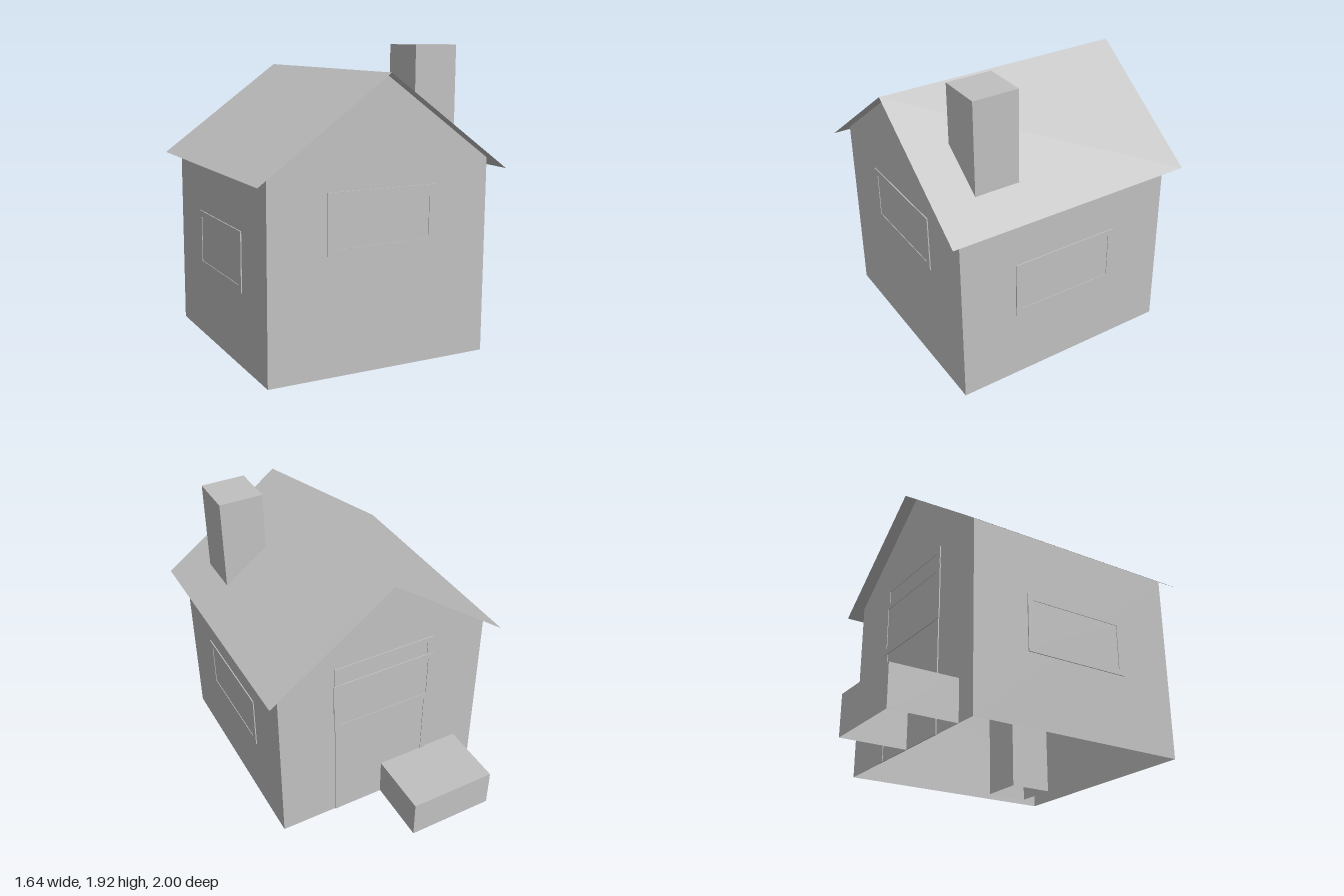
import * as THREE from 'three';

const plaster = new THREE.MeshStandardMaterial({ color: 0xc0c0c0, side: THREE.DoubleSide });
plaster.name = 'plain grey';

const HALF = 0.735, EAVE = 1.235, RIDGE = 1.767;
const BACK = -0.56, FRONT = 0.917;
const SLOPE = (RIDGE - EAVE) / HALF;

function add(parent, name, geometry) {
  const mesh = new THREE.Mesh(geometry, plaster);
  mesh.name = name;
  parent.add(mesh);
  return mesh;
}

// Box given by its limits, without the listed sides (0 +x, 1 -x, 2 +y, 3 -y, 4 +z, 5 -z)
function openBox(x0, x1, y0, y1, z0, z1, missing) {
  const g = new THREE.BoxGeometry(x1 - x0, y1 - y0, z1 - z0);
  g.setIndex([...g.index.array].filter((_, i) => !missing.includes(Math.floor(i / 6))));
  g.clearGroups();
  return g.translate((x0 + x1) / 2, (y0 + y1) / 2, (z0 + z1) / 2);
}

// Thin raised frame with a flatter pane, facing +z, centred on x = 0
function framedPanel(name, w, h, border, sill) {
  const group = new THREE.Group();
  group.name = name;
  const rect = (Type, a, b, c, d) =>
    new Type([[a, c], [b, c], [b, d], [a, d]].map(p => new THREE.Vector2(...p)));
  const shape = rect(THREE.Shape, -w / 2, w / 2, 0, h);
  const iw = w / 2 - border;
  shape.holes.push(rect(THREE.Path, -iw, iw, sill, h - border));
  add(group, name + 'Frame', new THREE.ExtrudeGeometry(shape, { depth: 0.007, bevelEnabled: false }));
  add(group, name + 'Pane', new THREE.PlaneGeometry(iw * 2, h - border - sill))
    .position.set(0, (h - border + sill) / 2, 0.003);
  return group;
}

export function createModel() {
  const house = new THREE.Group();
  house.name = 'house';

  // Side walls, open below and above
  add(house, 'sideWalls', openBox(-HALF, HALF, 0, EAVE, BACK, FRONT, [2, 3, 4, 5]));

  // Gable walls
  const gable = new THREE.Shape([
    [-HALF, 0], [HALF, 0], [HALF, EAVE], [0, RIDGE], [-HALF, EAVE],
  ].map(p => new THREE.Vector2(...p)));
  add(house, 'frontWall', new THREE.ShapeGeometry(gable)).position.z = FRONT;
  const backWall = add(house, 'backWall', new THREE.ShapeGeometry(gable));
  backWall.position.z = BACK;
  backWall.rotation.y = Math.PI;

  // Roof: one thin folded sheet overhanging all round
  let roof = new THREE.PlaneGeometry(1.64, 1.645, 2, 1).rotateX(-Math.PI / 2);
  const p = roof.attributes.position;
  for (let i = 0; i < p.count; i++) p.setY(i, RIDGE - SLOPE * Math.abs(p.getX(i)));
  roof = roof.toNonIndexed();
  roof.computeVertexNormals();
  add(house, 'roof', roof).position.z = 0.1775;

  // Chimney runs down to the ground inside the house
  add(house, 'chimney', openBox(0.325, 0.615, 0, 1.917, 0.44, 0.735, [3]));

  // Back doorstep
  add(house, 'doorstep', openBox(-0.59, 0, 0, 0.265, -1, BACK, [3, 4]));

  // Windows
  const place = (panel, x, y, z, turn) => {
    panel.position.set(x, y, z);
    panel.rotation.y = turn;
    house.add(panel);
  };
  place(framedPanel('frontWindow', 0.72, 0.37, 0.04, 0.04), 0, 0.73, FRONT, 0);
  for (const s of [1, -1]) {
    place(framedPanel(s > 0 ? 'leftWindow' : 'rightWindow', 0.725, 0.375, 0.04, 0.04),
      s * HALF, 0.465, 0.18, s * Math.PI / 2);
  }

  // Back door with a window set on it
  place(framedPanel('backDoor', 0.7, 1.23, 0.04, 0), 0, 0, BACK, Math.PI);
  place(framedPanel('doorWindow', 0.72, 0.37, 0.04, 0.04), 0, 0.73, BACK - 0.004, Math.PI);

  return house;
}
